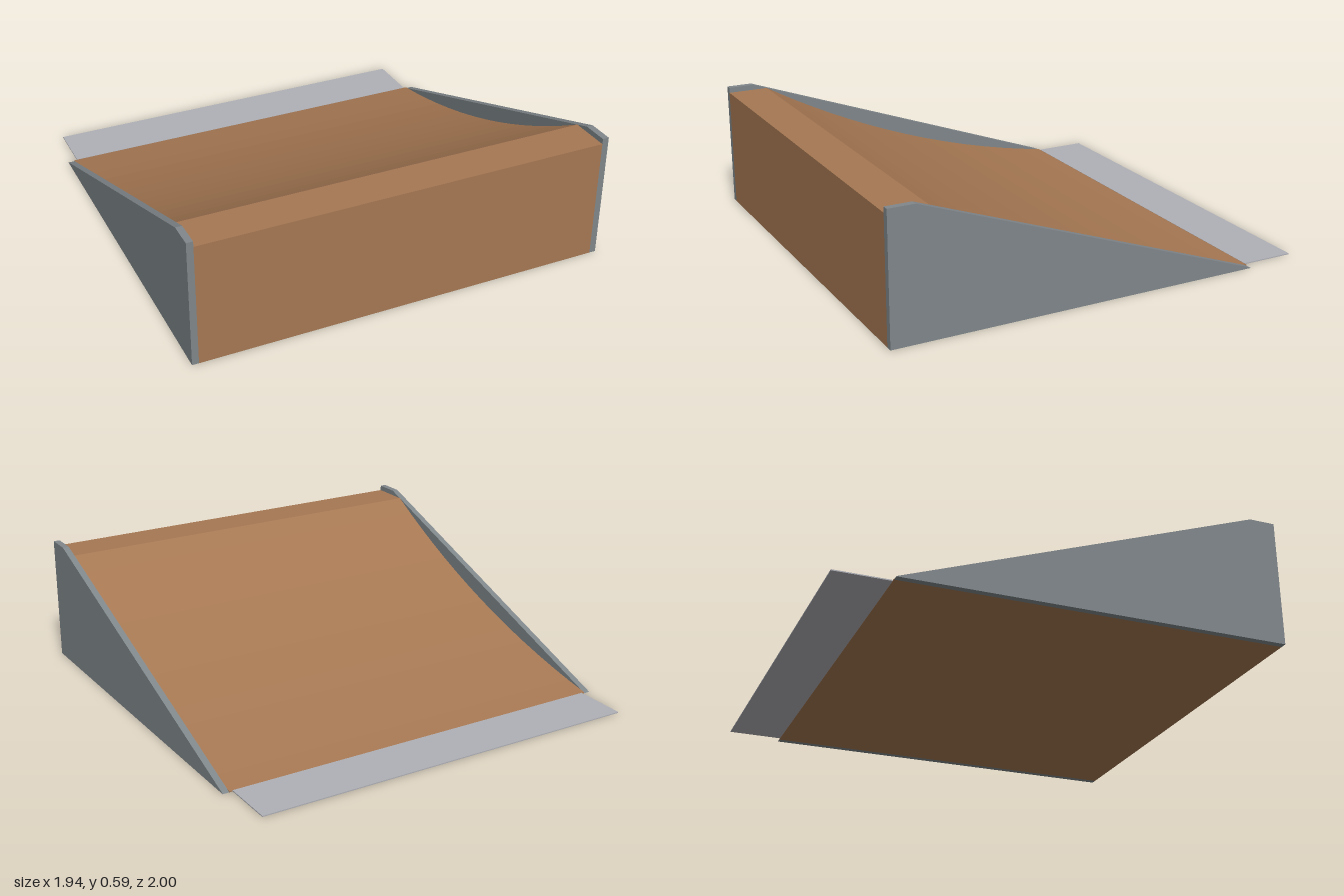
import * as THREE from 'three';

const wood = new THREE.MeshStandardMaterial({ color: 0xa67853, flatShading: true });
wood.name = 'wood brown';
const sideGrey = new THREE.MeshStandardMaterial({ color: 0x80878a, flatShading: true });
sideGrey.name = 'side grey';
const steel = new THREE.MeshStandardMaterial({ color: 0xb0b1b7, flatShading: true });
steel.name = 'light steel';

// Extrudes a side profile of [z, y] points across x, from x0 to x1
function profile(name, points, x0, x1, material) {
  const shape = new THREE.Shape(points.map(([z, y]) => new THREE.Vector2(-z, y)));
  const geometry = new THREE.ExtrudeGeometry(shape, { depth: x1 - x0, bevelEnabled: false });
  geometry.rotateY(Math.PI / 2).translate(x0, 0, 0);
  const mesh = new THREE.Mesh(geometry, material);
  mesh.name = name;
  return mesh;
}

export function createModel() {
  const group = new THREE.Group();
  group.name = 'ramp';

  // Riding surface: shallow arc rising from the toe to the deck
  const toe = [-0.75, 0.005], lip = [0.81, 0.565];
  const dz = lip[0] - toe[0], dy = lip[1] - toe[1];
  const radius = 4.5;
  const chordAngle = Math.atan2(dy, dz);
  const half = Math.asin(Math.hypot(dz, dy) / 2 / radius);
  const start = chordAngle - half;
  const arc = [];
  const steps = 14;
  for (let i = 0; i <= steps; i++) {
    const a = start + (2 * half * i) / steps;
    arc.push([
      toe[0] + radius * (Math.sin(a) - Math.sin(start)),
      toe[1] + radius * (Math.cos(start) - Math.cos(a)),
    ]);
  }

  // Wooden body with flat deck and upright front
  group.add(profile('rampBody', [[1, 0], [-0.75, 0], ...arc, [1, 0.565]], -0.94, 0.94, wood));

  // Side panels standing slightly above the deck
  const panel = [[1, 0], [-0.75, 0], [-0.74, 0.005], [0.88, 0.59], [1, 0.59]];
  group.add(profile('leftPanel', panel, 0.94, 0.97, sideGrey));
  group.add(profile('rightPanel', panel, -0.97, -0.94, sideGrey));

  // Thin entry plate lying on the ground
  const plate = new THREE.Mesh(new THREE.BoxGeometry(1.85, 0.005, 0.25), steel);
  plate.name = 'entryPlate';
  plate.position.set(0, 0.0035, -0.875);
  group.add(plate);

  return group;
}
